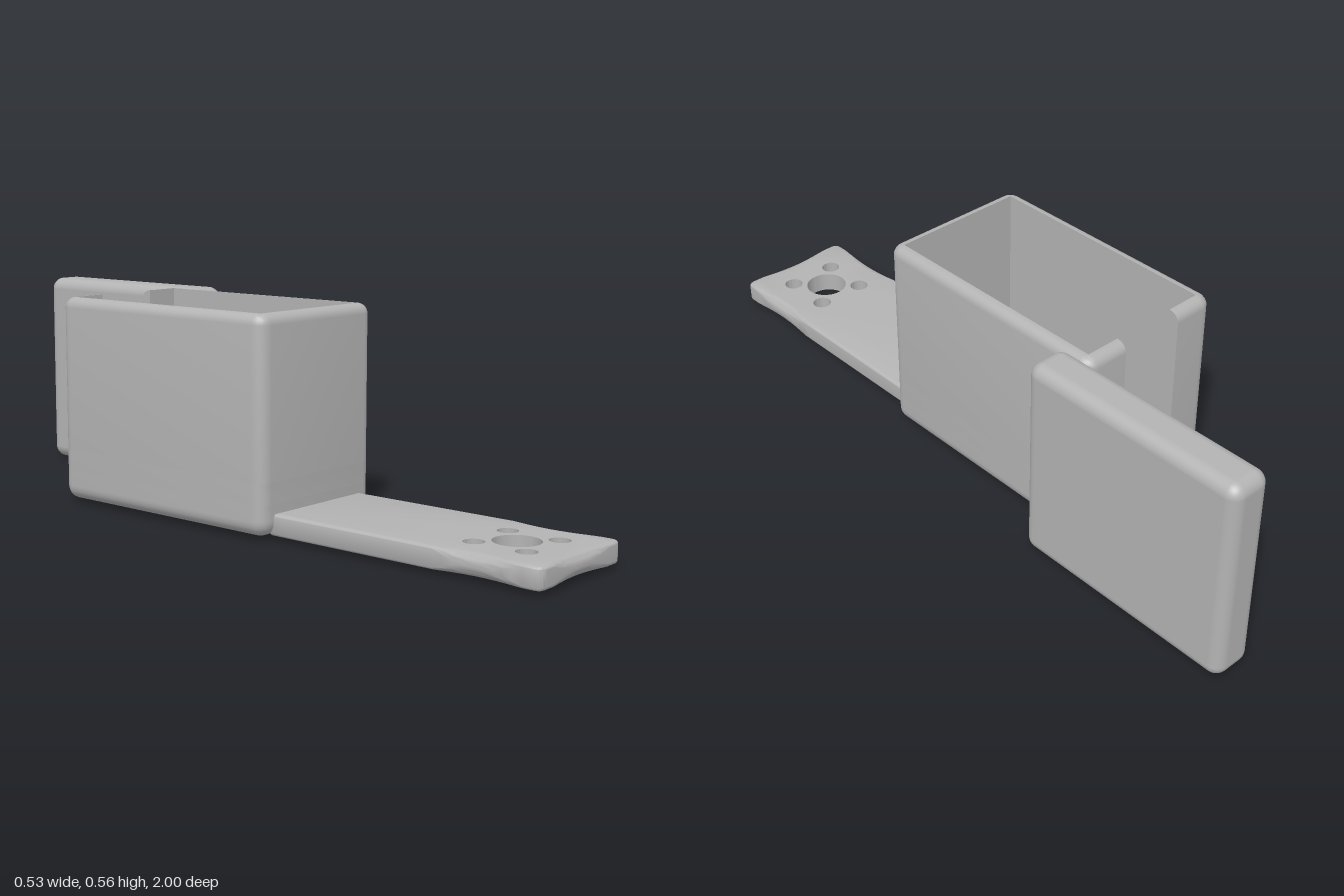
import * as THREE from 'three';
import { toCreasedNormals } from 'three/addons/utils/BufferGeometryUtils.js';
import { RoundedBoxGeometry } from 'three/addons/geometries/RoundedBoxGeometry.js';

const LAYERS = 12;

// Rounded rectangle in plan (v = -z): points with outward normals, counter-clockwise from the +x side
function roundRect(x0, x1, z0, z1, R, perSide = 1) {
  const corners = [[x1 - R, -z0 - R], [x0 + R, -z0 - R], [x0 + R, -z1 + R], [x1 - R, -z1 + R]];
  const pts = [];
  corners.forEach(([cx, cv], c) => {
    for (let i = 0; i <= 6; i++) {
      const a = (c + i / 6) * Math.PI / 2, nx = Math.cos(a), nv = Math.sin(a);
      pts.push({ x: cx + R * nx, v: cv + R * nv, nx, nv });
    }
    const last = pts[pts.length - 1], next = corners[(c + 1) % 4];
    const ex = next[0] + R * last.nx, ev = next[1] + R * last.nv;
    for (let i = 1; i < perSide; i++) {
      const t = i / perSide;
      pts.push({ x: last.x + (ex - last.x) * t, v: last.v + (ev - last.v) * t, nx: last.nx, nv: last.nv });
    }
  });
  return pts;
}

const circle = (x, z, r) => new THREE.Path().absarc(x, -z, r, 0, Math.PI * 2, true);
const rect = (x0, x1, z0, z1) => new THREE.Path([[x0, -z0], [x0, -z1], [x1, -z1], [x1, -z0]]
  .map(([x, v]) => new THREE.Vector2(x, v)));

// Upright slab from y0 to y1 whose outer edges are filleted; radii may depend on the position
function slab(outline, holes, y0, y1, bottomR, topR) {
  const pts = outline.map(p => {
    const rb = p.nx === undefined ? 0 : bottomR(p), rt = p.nx === undefined ? 0 : topR(p);
    const m = Math.max(rb, rt);
    return { ...p, rb, rt, m, cx: p.x - (p.nx || 0) * m, cv: p.v - (p.nv || 0) * m };
  });
  const shape = new THREE.Shape(pts.map(p => new THREE.Vector2(p.cx, p.cv)));
  shape.holes = holes;
  const geo = new THREE.ExtrudeGeometry(shape, { depth: 1, steps: LAYERS, bevelEnabled: false, curveSegments: 20 });
  const pos = geo.attributes.position;
  for (let i = 0; i < pos.count; i++) {
    const x = pos.getX(i), v = pos.getY(i), h = pos.getZ(i);
    const p = pts.find(q => q.nx !== undefined && Math.hypot(q.cx - x, q.cv - v) < 1e-5);
    if (!p) {
      pos.setXYZ(i, x, y0 + (y1 - y0) * h, -v);
      continue;
    }
    const k = Math.round(h * LAYERS), half = LAYERS / 2, low = k < half;
    const a = (low ? k / (half - 1) : (LAYERS - k) / half) * Math.PI / 2;
    const r = low ? p.rb : p.rt;
    const out = p.m - r * (1 - Math.sin(a)), rise = r * (1 - Math.cos(a));
    pos.setXYZ(i, x + p.nx * out, low ? y0 + rise : y1 - rise, -(v + p.nv * out));
  }
  geo.deleteAttribute('uv');
  return toCreasedNormals(geo, 0.6);
}

export function createModel() {
  const model = new THREE.Group();
  const grey = new THREE.MeshStandardMaterial({ color: 0xb3b3b3 });
  grey.name = 'plain grey';
  const add = (name, geo, parent = model) => {
    const mesh = new THREE.Mesh(geo, grey);
    mesh.name = name;
    parent.add(mesh);
    return mesh;
  };
  const none = () => 0;

  // Open box: floor with screw holes and recesses, low sill, slotted walls
  const box = new THREE.Group();
  box.name = 'openBox';
  model.add(box);
  const outer = () => roundRect(-0.265, 0.165, -0.475, 0.245, 0.036);
  const screws = () => [-0.195, 0.095].flatMap(x => [-0.4, -0.055].map(z => circle(x, z, 0.02)));
  const [ix0, ix1, iz0, iz1] = [-0.235, 0.135, -0.445, 0.215];
  add('floorBase', slab(outer(), screws(), 0.01, 0.05, () => 0.034, none), box);
  add('floorRecesses', slab(outer(),
    [...screws(), circle(-0.05, 0.06, 0.15), rect(-0.19, 0.085, -0.375, -0.12)], 0.05, 0.09, none, none), box);
  add('sill', slab(outer(), [rect(ix0, ix1, iz0, iz1)], 0.09, 0.145, none, none), box);

  const ring = outer();
  const wallOutline = [
    { x: -0.14, v: 0.475, nx: 0, nv: 1 },
    ...ring.slice(7), ...ring.slice(0, 7),
    { x: 0.04, v: 0.475, nx: 0, nv: 1 },
    ...[[0.04, iz0], [ix1, iz0], [ix1, iz1], [ix0, iz1], [ix0, iz0], [-0.14, iz0]].map(([x, z]) => ({ x, v: -z })),
  ];
  add('slottedWalls', slab(wallOutline, [], 0.145, 0.555, none, () => 0.027), box);

  // Mounting arm, its edge rounding swelling beside the round hole pattern
  const padX = -0.05, padZ = 0.83;
  const armR = p => {
    const d = Math.max(0, Math.hypot(p.x - padX, -p.v - padZ) - 0.17);
    return 0.009 + 0.017 * Math.max(0, 1 - d / 0.035);
  };
  const armHoles = [circle(padX, padZ, 0.058)];
  for (const sx of [-1, 1]) for (const sz of [-1, 1]) {
    armHoles.push(circle(padX + sx * 0.07, padZ + sz * 0.07, 0.026));
  }
  add('mountingArm', slab(roundRect(-0.22, 0.12, 0.22, 1, 0.02, 28), armHoles, 0.01, 0.065, armR, armR));

  // Separate cover standing beside the box
  const cover = add('cover', new RoundedBoxGeometry(0.115, 0.555, 0.63, 5, 0.033));
  cover.position.set(0.2065, 0.2775, -0.685);
  return model;
}
